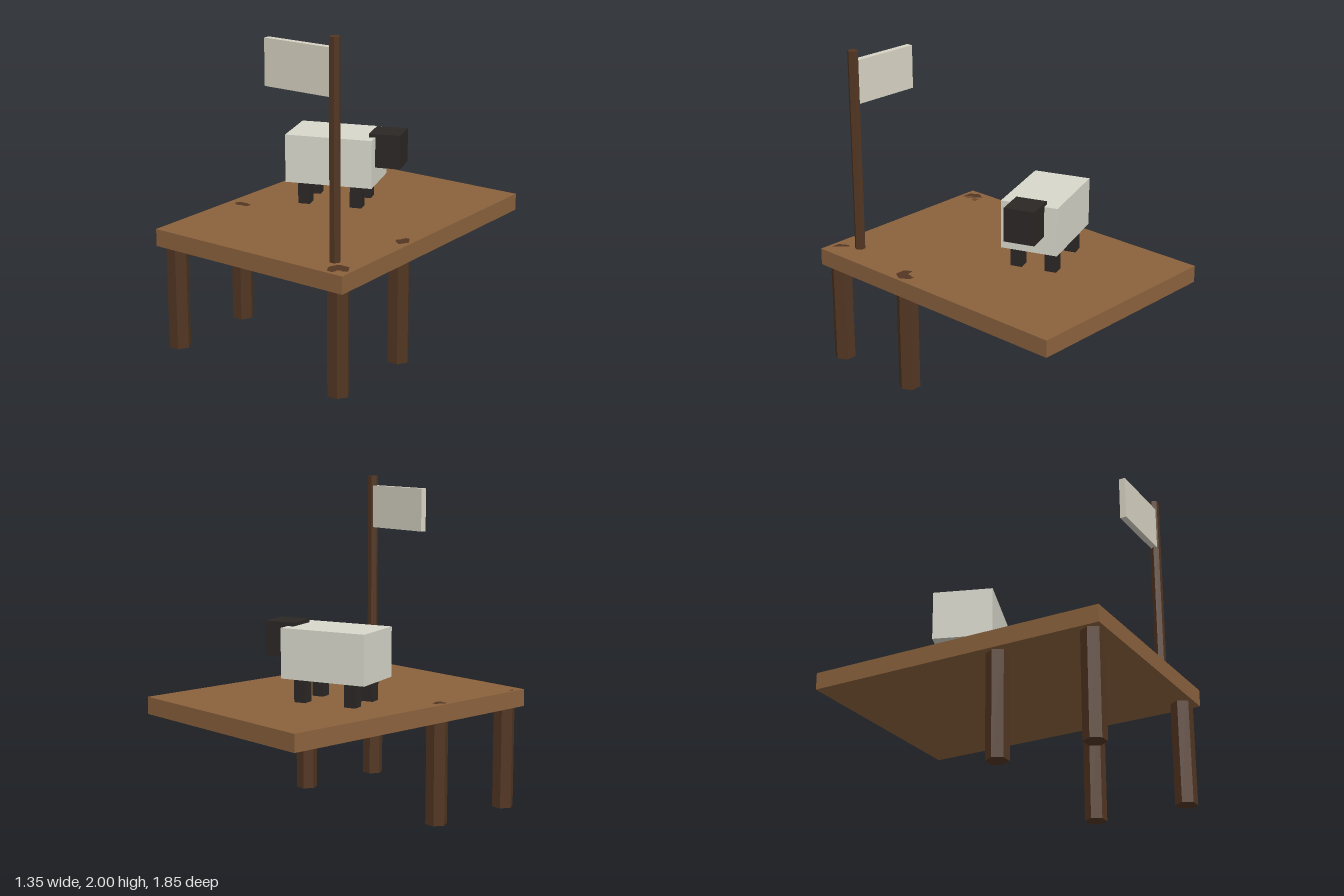
import * as THREE from 'three';

export function createModel() {
  const model = new THREE.Group();
  const mat = (color) => new THREE.MeshStandardMaterial({ color, flatShading: true });
  const wood = mat(0x8b623d), darkWood = mat(0x523622);
  const wool = mat(0xd8d8cc), dark = mat(0x2b2725), cloth = mat(0xd8d3c3);

  const add = (parent, name, geometry, material, x, y, z) => {
    const mesh = new THREE.Mesh(geometry, material);
    mesh.name = name;
    mesh.position.set(x, y, z);
    parent.add(mesh);
    return mesh;
  };
  const box = (w, h, d) => new THREE.BoxGeometry(w, h, d);
  // Six-sided post with corners pointing along x
  const hexPost = (r, h) => new THREE.CylinderGeometry(r, r, h, 6).rotateY(Math.PI / 6);

  // Table: all four legs stand under the front half, ends flush with the top
  const top = 0.74;
  add(model, 'tableTop', box(1.35, 0.105, 1.85), wood, 0, top - 0.0525, 0);
  for (const x of [-0.588, 0.588])
    for (const z of [0.842, 0.254])
      add(model, 'tableLeg', hexPost(0.067, top), darkWood, x, top / 2, z);

  // Flag on its pole
  add(model, 'flagPole', hexPost(0.033, 2 - top), darkWood, 0.503, (2 + top) / 2, 0.757);
  add(model, 'flag', box(0.455, 0.27, 0.04), cloth, 0.2675, 1.805, 0.757);

  // Sheep, turned on the table
  const sheep = new THREE.Group();
  sheep.name = 'sheep';
  sheep.position.set(-0.172, top, -0.171);
  sheep.rotation.y = THREE.MathUtils.degToRad(20);
  model.add(sheep);
  add(sheep, 'body', box(0.547, 0.3, 0.356), wool, 0, 0.29, 0);
  add(sheep, 'head', box(0.195, 0.21, 0.192), dark, 0.331, 0.357, 0);
  for (const x of [-0.165, 0.165])
    for (const z of [-0.11, 0.11])
      add(sheep, 'sheepLeg', box(0.074, 0.145, 0.074), dark, x, 0.0725, z);

  return model;
}
